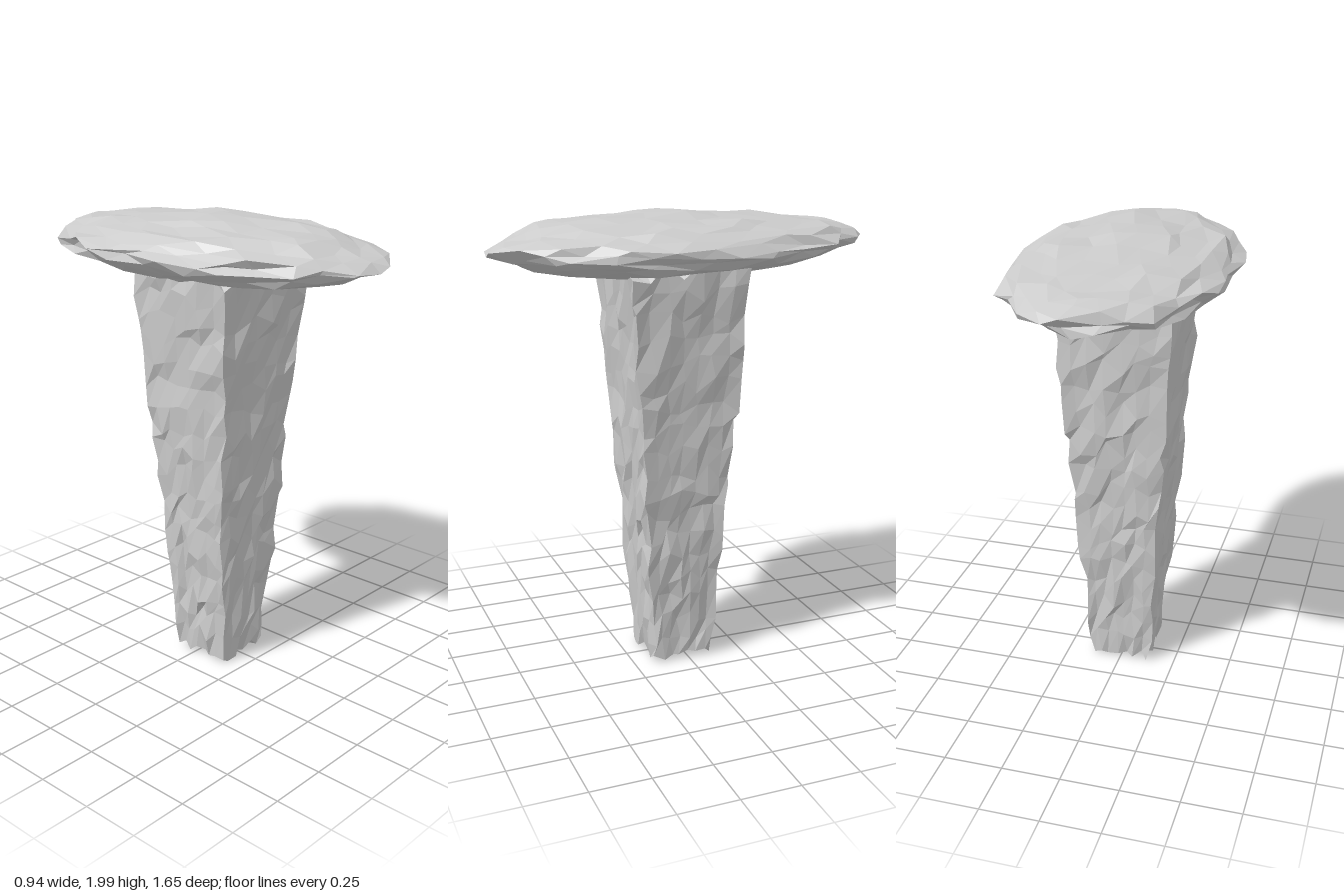
import * as THREE from 'three';

// Repeatable noise in -1..1 from a position, so coincident corners move together
function noise(p, seed) {
  const q = (v) => Math.round(v * 1000) / 1000;
  const s = Math.sin(q(p.x) * 127.1 + q(p.y) * 311.7 + q(p.z) * 74.7 + seed * 53.3) * 43758.5453;
  return (s - Math.floor(s)) * 2 - 1;
}

// Move every vertex of a geometry by a rule
function reshape(geometry, rule) {
  const pos = geometry.attributes.position;
  const p = new THREE.Vector3();
  for (let i = 0; i < pos.count; i++) {
    rule(p.fromBufferAttribute(pos, i));
    pos.setXYZ(i, p.x, p.y, p.z);
  }
  geometry.computeVertexNormals();
  return geometry;
}

export function createModel() {
  const group = new THREE.Group();
  const material = new THREE.MeshStandardMaterial({
    color: 0xcccccc, flatShading: true, side: THREE.DoubleSide,
  });
  const add = (name, geometry) => {
    const mesh = new THREE.Mesh(geometry, material);
    mesh.name = name;
    group.add(mesh);
  };

  // Square stem, widening upwards, with a rough chipped surface
  add('stem', reshape(new THREE.BoxGeometry(2, 1, 2, 7, 18, 7), (p) => {
    const n = [1, 2, 3].map((seed) => noise(p, seed));
    const t = p.y + 0.5;
    const half = 0.133 + 0.125 * t;
    const ragged = t === 0 ? 0.022 : 0.04;
    p.set(
      p.x * half + n[0] * 0.013,
      0.03 + t * 1.75 + n[1] * ragged,
      0.03 + p.z * half + n[2] * 0.013,
    );
  }));

  // Broad flattened oval cap with craggy, overlapping facets
  add('cap', reshape(new THREE.IcosahedronGeometry(1, 4), (p) => {
    const n = [4, 5, 6].map((seed) => noise(p, seed));
    p.set(
      p.x * 0.455 + n[0] * 0.025,
      1.868 + p.y * 0.125 + n[1] * 0.014,
      p.z * 0.81 + n[2] * 0.04,
    );
    p.y = THREE.MathUtils.clamp(p.y, 1.735, 2);
    p.x = THREE.MathUtils.clamp(p.x, -0.48, 0.48);
    p.z = THREE.MathUtils.clamp(p.z, -0.83, 0.83);
  }));

  return group;
}
